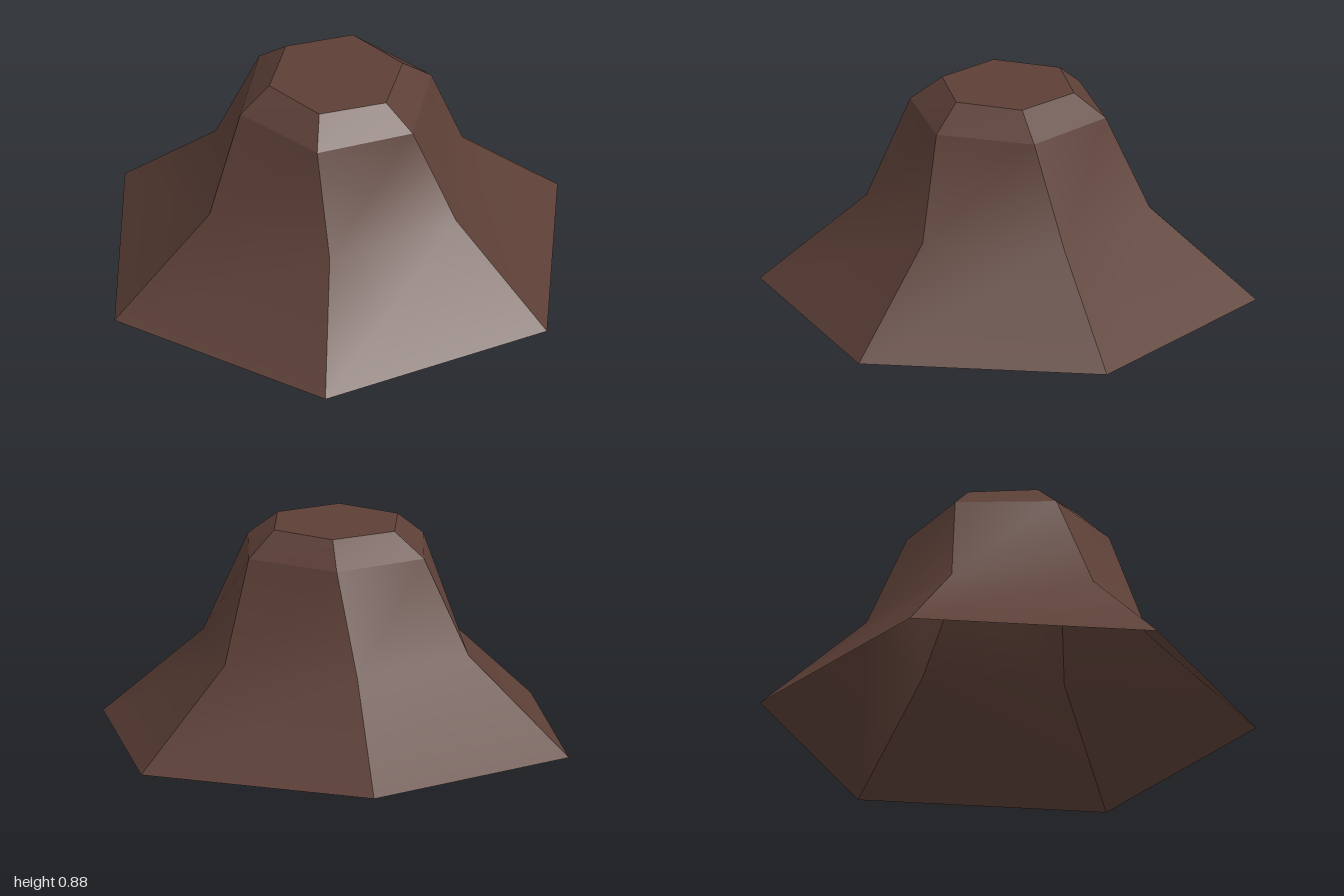
import * as THREE from 'three';
import { mergeGeometries } from 'three/addons/utils/BufferGeometryUtils.js';

const SIDES = 6;
// Rings from the foot up: height, radius, twist in degrees
const FOOT = [0, 1.0, 2.5];
const WAIST = [0.38, 0.57, 2.6];
const SHOULDER = [0.78, 0.405, 10.8];
const RIM = [0.88, 0.278, 14];

function corner([y, r, twist], i) {
  const a = THREE.MathUtils.degToRad(twist + (i * 360) / SIDES);
  return [r * Math.cos(a), y, r * Math.sin(a)];
}

function indexed(points, index) {
  const g = new THREE.BufferGeometry();
  g.setAttribute('position', new THREE.Float32BufferAttribute(points.flat(), 3));
  g.setIndex(index);
  g.computeVertexNormals();
  return g;
}

// One panel per side: smooth up its height, sharp against its neighbours
function wall(rings) {
  const panels = [];
  for (let i = 0; i < SIDES; i++) {
    const points = [];
    const index = [];
    rings.forEach((ring, j) => {
      points.push(corner(ring, i), corner(ring, i + 1));
      if (j === 0) return;
      const b = 2 * (j - 1);
      index.push(b + 1, b, b + 2, b + 1, b + 2, b + 3);
    });
    panels.push(indexed(points, index));
  }
  return mergeGeometries(panels);
}

// Flat hexagon facing up
function cap(ring) {
  const points = [];
  const index = [];
  for (let i = 0; i < SIDES; i++) {
    points.push(corner(ring, i));
    if (i > 1) index.push(0, i, i - 1);
  }
  return indexed(points, index);
}

export function createModel() {
  const model = new THREE.Group();
  model.name = 'rockMound';
  const brown = new THREE.MeshStandardMaterial({ color: 0x5d4037, side: THREE.DoubleSide });
  brown.name = 'earthBrown';

  const add = (name, geometry) => {
    const mesh = new THREE.Mesh(geometry, brown);
    mesh.name = name;
    model.add(mesh);
  };

  // Flared sides, open underneath
  add('slopes', wall([FOOT, WAIST, SHOULDER]));
  // Bevelled edge around the summit
  add('bevel', wall([SHOULDER, RIM]));
  // Flat top
  add('summit', cap(RIM));
  return model;
}
